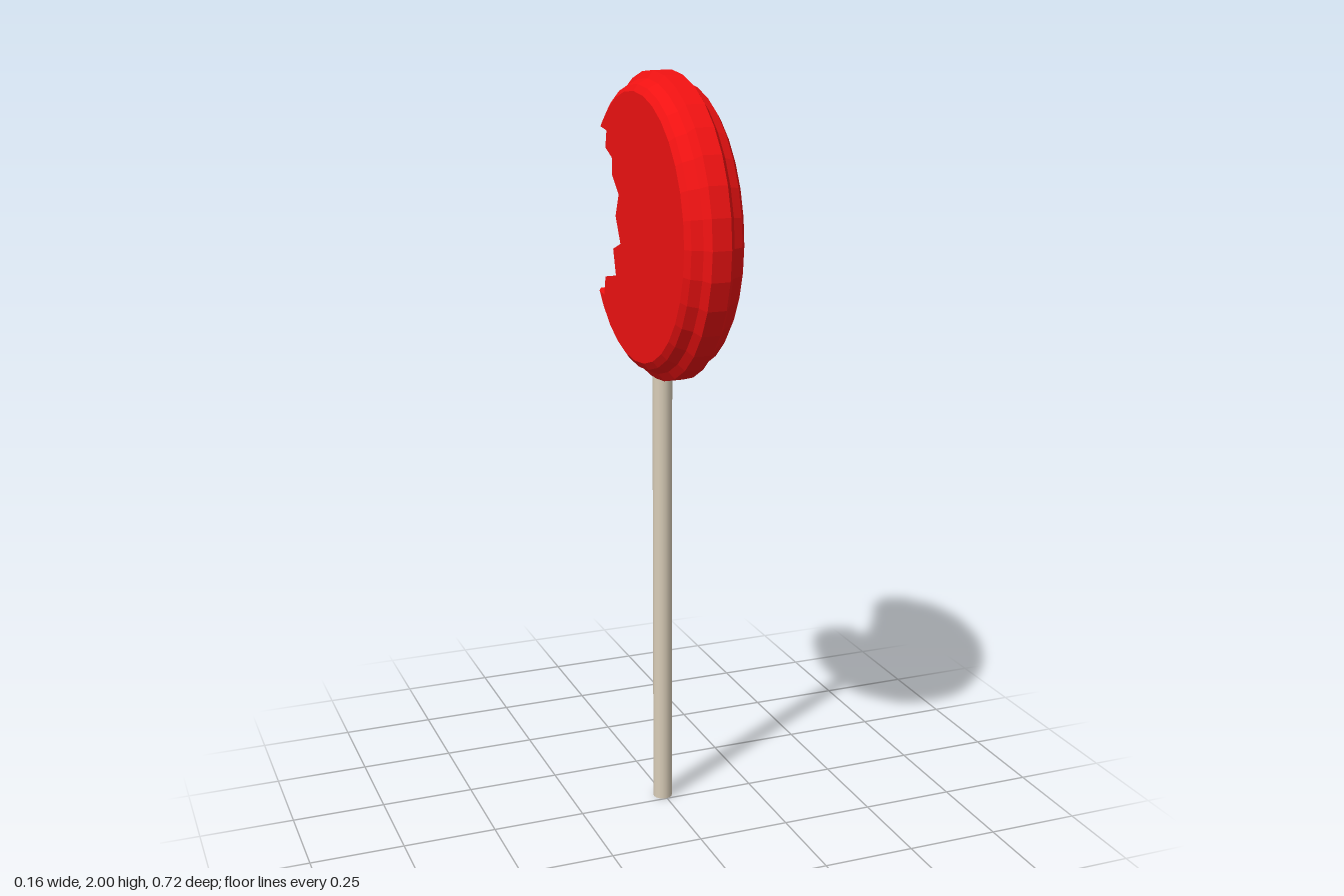
import * as THREE from 'three';

const CENTER = { x: -0.001, y: 1.605, z: -0.03 };

// Bite edge from upper rim to lower rim, as [toward the back, up] from the disc centre
const BITE = [
  [0.325, 0.275], [0.245, 0.234], [0.198, 0.228], [0.208, 0.183], [0.158, 0.162],
  [0.158, 0.118], [0.107, 0.072], [0.132, 0.013], [0.096, -0.055], [0.153, -0.077],
  [0.133, -0.145], [0.217, -0.162], [0.228, -0.214], [0.291, -0.206], [0.350, -0.236],
].map(([u, v]) => new THREE.Vector2(u, v));

// Half of the stepped rim: [half thickness, radius]
const RIM = [[0.078, 0.345], [0.066, 0.362], [0.04, 0.375], [0.025, 0.395]];

// Point where the edge from inside point a to outside point b meets a circle
function crossing(a, b, r) {
  const d = b.clone().sub(a);
  const A = d.dot(d), B = a.dot(d), C = a.dot(a) - r * r;
  return a.clone().addScaledVector(d, (-B + Math.sqrt(B * B - A * C)) / A);
}

// Counterclockwise outline of one layer: 32-sided arc, then the bite back up
function layerOutline(x, r) {
  const bite = BITE.map((p) => new THREE.Vector2(p.x - 0.1 * x, p.y));
  const n = bite.length;
  const first = bite.findIndex((p) => p.length() < r);
  const last = n - 1 - [...bite].reverse().findIndex((p) => p.length() < r);
  const top = crossing(bite[first], bite[first - 1], r);
  const bottom = crossing(bite[last], bite[last + 1], r);
  const clipped = bite.map((p, i) => (i < first ? top : i > last ? bottom : p));
  const arc = [];
  for (let k = 4; k <= 28; k++) {
    const t = (k / 32) * Math.PI * 2;
    arc.push(new THREE.Vector2(Math.cos(t) * r, Math.sin(t) * r));
  }
  return [...arc, ...clipped.reverse()];
}

function candyGeometry() {
  const layers = [
    ...RIM.map(([x, r]) => [-x, r]),
    ...[...RIM].reverse(),
  ].map(([x, r]) => ({ x, loop: layerOutline(x, r) }));
  const positions = [];
  const to3D = (layer, j) => {
    const p = layer.loop[j % layer.loop.length];
    return new THREE.Vector3(layer.x, p.y, -p.x);
  };
  const triangle = (a, b, c) => {
    const area = b.clone().sub(a).cross(c.clone().sub(a)).length();
    if (area > 1e-9) for (const p of [a, b, c]) positions.push(p.x, p.y, p.z);
  };

  // Rim and bite walls
  for (let i = 0; i < layers.length - 1; i++) {
    const lo = layers[i], hi = layers[i + 1];
    for (let j = 0; j < lo.loop.length; j++) {
      triangle(to3D(lo, j), to3D(lo, j + 1), to3D(hi, j));
      triangle(to3D(lo, j + 1), to3D(hi, j + 1), to3D(hi, j));
    }
  }

  // Flat faces
  for (const [layer, flip] of [[layers[0], true], [layers[layers.length - 1], false]]) {
    // Drop repeated corners where the bite meets the rim
    const loop = layer.loop.filter((p, j, all) => p.distanceTo(all[(j + 1) % all.length]) > 1e-6);
    const face = { x: layer.x, loop };
    for (const [a, b, c] of THREE.ShapeUtils.triangulateShape(loop, [])) {
      const [p, q, s] = [a, b, c].map((j) => to3D(face, j));
      if (flip) triangle(p, s, q);
      else triangle(p, q, s);
    }
  }

  const geometry = new THREE.BufferGeometry();
  geometry.setAttribute('position', new THREE.Float32BufferAttribute(positions, 3));
  geometry.computeVertexNormals();
  return geometry;
}

export function createModel() {
  const model = new THREE.Group();
  model.name = 'lollipop';

  const candy = new THREE.Mesh(
    candyGeometry(),
    new THREE.MeshStandardMaterial({ color: 0xf01212, flatShading: true })
  );
  candy.name = 'bittenCandy';
  candy.position.set(CENTER.x, CENTER.y, CENTER.z);
  model.add(candy);

  // Stick runs a little way into the candy
  const height = 1.25;
  const stick = new THREE.Mesh(
    new THREE.CylinderGeometry(0.026, 0.026, height, 16),
    new THREE.MeshStandardMaterial({ color: 0xd9cdb8 })
  );
  stick.name = 'stick';
  stick.position.set(-0.003, height / 2, -0.027);
  model.add(stick);

  return model;
}
